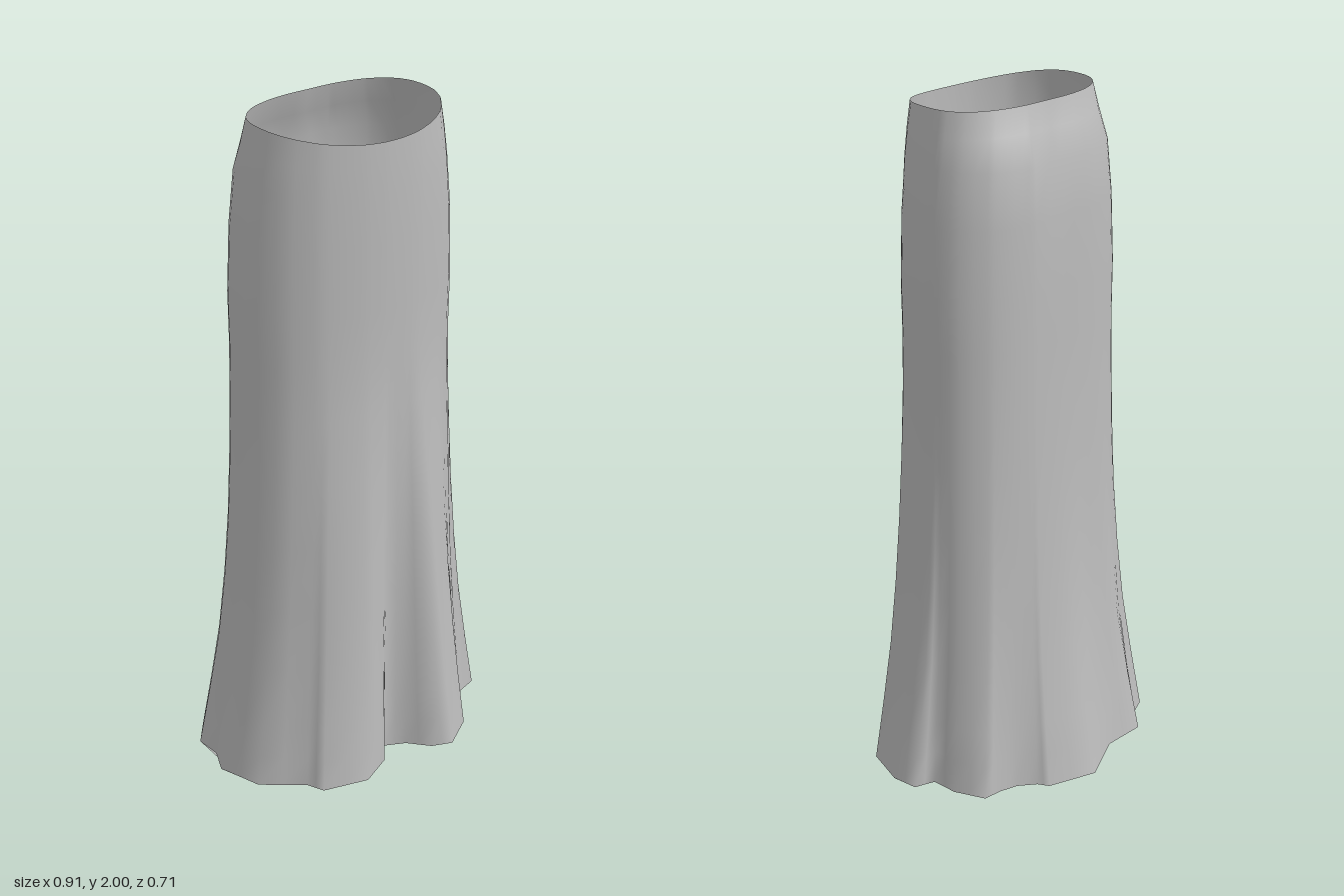
import * as THREE from 'three';

const CZ = 0.03; // z of the widest line

// Hem outline (x, z), from the front notch round by +x to the back and home by -x
const HEM = [
  [0, 0.24], [0.06, 0.27], [0.115, 0.33], [0.175, 0.355], [0.27, 0.295], [0.3, 0.24],
  [0.365, 0.165], [0.425, 0.148], [0.455, 0.03], [0.44, -0.045], [0.38, -0.065],
  [0.37, -0.14], [0.325, -0.225], [0.27, -0.23], [0.215, -0.245], [0.165, -0.28],
  [0.145, -0.31], [0, -0.358], [-0.14, -0.288], [-0.27, -0.288], [-0.32, -0.225],
  [-0.375, -0.2], [-0.437, -0.12], [-0.43, -0.04], [-0.457, 0.03], [-0.41, 0.16],
  [-0.295, 0.25], [-0.27, 0.3], [-0.137, 0.34], [-0.04, 0.295],
];

// Sections: y, half width, front z, back z, flare at sides and back, flare at front
const ROWS = [
  [0, 0.327, 0.24, -0.205, 1, 1],
  [0.1, 0.327, 0.24, -0.205, 0.86, 0.92],
  [0.2, 0.327, 0.24, -0.205, 0.72, 0.84],
  [0.4, 0.327, 0.24, -0.205, 0.46, 0.7],
  [0.6, 0.327, 0.24, -0.205, 0.28, 0.55],
  [0.8, 0.327, 0.24, -0.205, 0.15, 0.41],
  [1.0, 0.327, 0.24, -0.205, 0.07, 0.25],
  [1.2, 0.326, 0.24, -0.205, 0.02, 0.09],
  [1.35, 0.326, 0.24, -0.204, 0, 0.02],
  [1.5, 0.327, 0.242, -0.203, 0, 0],
  [1.7, 0.316, 0.244, -0.199, 0, 0],
  [1.85, 0.299, 0.243, -0.19, 0, 0],
  [1.93, 0.286, 0.242, -0.155, 0, 0],
  [2.0, 0.272, 0.24, -0.135, 0, 0],
];

// Distance from the axis to a rounded oval in direction (c, s)
function ovalRadius(c, s, [, a, front, back]) {
  const b = s > 0 ? front - CZ : CZ - back;
  const n = s > 0 ? 2.05 : 2.6;
  return 1 / Math.pow(Math.pow(Math.abs(c) / a, n) + Math.pow(Math.abs(s) / b, n), 1 / n);
}

function meshGeometry(positions, index) {
  const g = new THREE.BufferGeometry();
  g.setAttribute('position', new THREE.Float32BufferAttribute(positions, 3));
  g.setIndex(index);
  g.computeVertexNormals();
  return g;
}

export function createModel() {
  const cloth = new THREE.MeshStandardMaterial({ color: 0xbcbcbc, side: THREE.DoubleSide });
  cloth.name = 'grey cloth';
  const group = new THREE.Group();
  group.name = 'longSkirt';

  // Hem points with the middle of every edge added
  const outline = HEM.flatMap(([x, z], i) => {
    const [x2, z2] = HEM[(i + 1) % HEM.length];
    return [[x, z], [(x + x2) / 2, (z + z2) / 2]];
  });
  const N = outline.length;

  // Skirt wall: an oval tube whose folds deepen towards the hem
  const pos = [], idx = [];
  for (const row of ROWS) {
    const [y, , , , wSide, wFront] = row;
    for (const [hx, hz] of outline) {
      const len = Math.hypot(hx, hz - CZ), c = hx / len, s = (hz - CZ) / len;
      const r = ovalRadius(c, s, row);
      const w = THREE.MathUtils.lerp(wSide, wFront, Math.max(0, s));
      const x = c * (r + w * (len - r));
      let z = CZ + s * (r + w * (len - r));
      // Shallow dent at the middle of the back
      if (s < 0) z += 0.013 * Math.exp(-((x / 0.04) ** 2) - ((y - 1.82) / 0.13) ** 2);
      // Hem slightly higher in front, waist dipping in front
      const lift = 0.02 * Math.max(0, 1 - y / 0.4) * (z + 0.36) / 0.72;
      const dip = 0.03 * Math.max(0, (y - 1.7) / 0.3) * (Math.max(0, z - CZ) / 0.21) ** 2;
      pos.push(x, y + lift - dip, z);
    }
  }
  for (let j = 0; j < ROWS.length - 1; j++) {
    for (let i = 0; i < N; i++) {
      const a = j * N + i, b = j * N + (i + 1) % N;
      idx.push(a, b, b + N, a, b + N, a + N);
    }
  }
  const wall = new THREE.Mesh(meshGeometry(pos, idx), cloth);
  wall.name = 'skirtWall';
  group.add(wall);

  // Floor inside the hem: two slopes meeting on a low ridge from side to side
  const ridge = (x) => [x, 0.01 + 0.06 * (1 - Math.abs(x) / 0.457), 0.045 - 0.03 * Math.abs(x)];
  const floorPos = [], floorIdx = [];
  for (let i = 0; i < N; i++) {
    const k = (i + 1) % N;
    const p = pos.slice(i * 3, i * 3 + 3), q = pos.slice(k * 3, k * 3 + 3);
    const base = floorPos.length / 3;
    floorPos.push(...p, ...q, ...ridge(p[0]), ...ridge(q[0]));
    floorIdx.push(base, base + 2, base + 1, base + 1, base + 2, base + 3);
  }
  const floor = new THREE.Mesh(meshGeometry(floorPos, floorIdx), cloth);
  floor.name = 'hemFloor';
  group.add(floor);

  return group;
}
